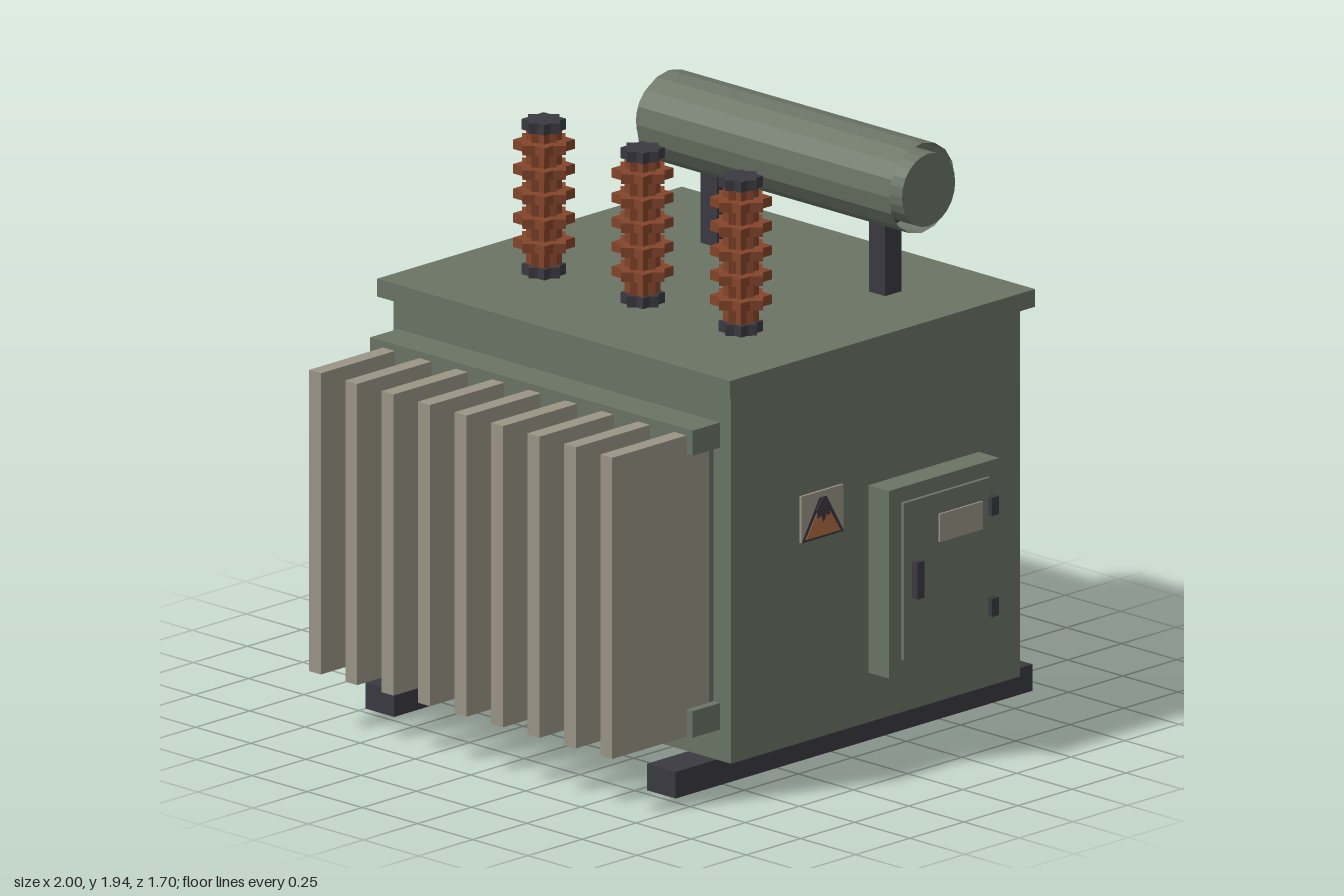
import * as THREE from 'three';

const mat = (name, color, extra = {}) => {
  const m = new THREE.MeshStandardMaterial({ color, flatShading: true, ...extra });
  m.name = name;
  return m;
};

export function createModel() {
  const green = mat('greenPaint', 0x6b7465);
  const greenOpen = mat('greenPaint', 0x6b7465, { side: THREE.DoubleSide });
  const grey = mat('warmGrey', 0x9a9586);
  const dark = mat('darkSteel', 0x3b3a41);
  const copper = mat('copper', 0xb06d42);
  const brown = mat('brownCeramic', 0x84452b);

  const root = new THREE.Group();
  root.name = 'transformer';

  const add = (name, geo, material, parent = root) => {
    const mesh = new THREE.Mesh(geo, material);
    mesh.name = name;
    parent.add(mesh);
    return mesh;
  };
  // Box given by its limits on each axis
  const box = (name, material, x0, x1, y0, y1, z0, z1) => {
    const geo = new THREE.BoxGeometry(x1 - x0, y1 - y0, z1 - z0);
    geo.translate((x0 + x1) / 2, (y0 + y1) / 2, (z0 + z1) / 2);
    return add(name, geo, material);
  };
  // Flat plate from outline points, facing +z
  const plate = (name, material, points, z, depth) => {
    const shape = new THREE.Shape(points.map(([x, y]) => new THREE.Vector2(x, y)));
    const geo = new THREE.ExtrudeGeometry(shape, { depth, bevelEnabled: false });
    geo.translate(0, 0, z);
    return add(name, geo, material);
  };
  // Upright eight-pointed star prism
  const star = (name, material, r, y0, y1, parent) => {
    const pts = [];
    for (let i = 0; i < 16; i++) {
      const a = (i * Math.PI) / 8;
      const d = i % 2 ? r * 0.765 : r;
      pts.push(new THREE.Vector2(d * Math.cos(a), d * Math.sin(a)));
    }
    const geo = new THREE.ExtrudeGeometry(new THREE.Shape(pts), { depth: y1 - y0, bevelEnabled: false });
    geo.rotateX(-Math.PI / 2).translate(0, y0, 0);
    return add(name, geo, material, parent);
  };

  // Main tank, lid and skids
  box('tankBody', green, -0.53, 0.805, 0.09, 1.34, -0.81, 0.72);
  box('lid', green, -0.565, 0.845, 1.34, 1.4, -0.85, 0.75);
  box('frontSkid', dark, -0.72, 0.93, 0, 0.09, 0.525, 0.655);
  box('backSkid', dark, -0.72, 0.93, 0, 0.09, -0.75, -0.62);

  // Ribs on the left wall
  for (let i = 0; i < 5; i++) {
    const z = 0.56 - i * 0.3175;
    box('wallRib', green, 0.8, 0.845, 0.13, 1.275, z - 0.031, z + 0.031);
  }

  // Terminal bars with copper blocks
  for (const y of [1.022, 0.767, 0.513]) {
    box('terminalBar', dark, 0.843, 0.92, y - 0.063, y + 0.063, -0.56, 0.46);
    for (let i = 0; i < 4; i++) {
      const z = 0.367 - i * 0.255;
      box('terminalBlock', copper, 0.918, 1, y - 0.037, y + 0.037, z - 0.064, z + 0.064);
    }
  }

  // Radiator: headers, backing plate and fins
  box('upperHeader', green, -0.657, -0.525, 1.15, 1.235, -0.79, 0.67);
  box('lowerHeader', green, -0.657, -0.525, 0.195, 0.285, -0.79, 0.67);
  box('radiatorBacking', green, -0.555, -0.525, 0.28, 1.16, -0.76, 0.64);
  for (let i = 0; i < 9; i++) {
    const z = -0.705 + i * 0.165;
    box('coolingFin', grey, -1, -0.553, 0.193, 1.213, z - 0.027, z + 0.027);
  }

  // Ceramic bushings
  for (const z of [-0.5, -0.053, 0.392]) {
    const bushing = new THREE.Group();
    bushing.name = 'bushing';
    bushing.position.set(-0.15, 0, z);
    root.add(bushing);
    star('bushingBase', dark, 0.072, 1.4, 1.436, bushing);
    star('bushingCore', brown, 0.058, 1.43, 1.9, bushing);
    for (let i = 0; i < 5; i++) {
      const y = 1.508 + i * 0.083;
      star('bushingShed', brown, 0.1, y - 0.016, y + 0.016, bushing);
    }
    star('bushingCap', dark, 0.072, 1.89, 1.926, bushing);
  }

  // Oil conservator: open sleeve around a capped core, on two posts
  const sleeve = new THREE.CylinderGeometry(0.152, 0.152, 1.145, 16, 1, true);
  sleeve.rotateX(Math.PI / 2).translate(0.49, 1.785, 0.0125);
  add('conservatorSleeve', sleeve, greenOpen);
  const core = new THREE.CylinderGeometry(0.123, 0.123, 1.205, 24);
  core.rotateX(Math.PI / 2).translate(0.49, 1.785, 0.0125);
  add('conservatorEnds', core, green);
  box('frontPost', dark, 0.45, 0.525, 1.4, 1.65, 0.385, 0.458);
  box('backPost', dark, 0.45, 0.525, 1.4, 1.65, -0.378, -0.303);

  // Control cabinet
  box('cabinet', green, 0.105, 0.615, 0.258, 0.893, 0.71, 0.813);
  box('cabinetDoor', green, 0.16, 0.56, 0.31, 0.842, 0.81, 0.827);
  box('namePlate', grey, 0.32, 0.518, 0.677, 0.772, 0.826, 0.834);
  box('doorHandle', dark, 0.198, 0.232, 0.512, 0.637, 0.826, 0.85);
  for (const y of [0.747, 0.405]) box('doorHinge', dark, 0.55, 0.584, y - 0.031, y + 0.031, 0.81, 0.843);

  // Warning sign
  box('signPlate', grey, -0.213, -0.02, 0.768, 0.926, 0.715, 0.729);
  plate('signBorder', dark, [[-0.215, 0.768], [-0.018, 0.768], [-0.1, 0.905], [-0.133, 0.905]], 0.729, 0.002);
  plate('signTriangle', copper, [[-0.197, 0.776], [-0.036, 0.776], [-0.09, 0.86], [-0.143, 0.86]], 0.731, 0.002);
  plate('signSymbol', dark, [[-0.15, 0.868], [-0.143, 0.838], [-0.128, 0.845], [-0.116, 0.82],
    [-0.104, 0.845], [-0.09, 0.838], [-0.083, 0.868], [-0.116, 0.91]], 0.733, 0.002);

  return root;
}
